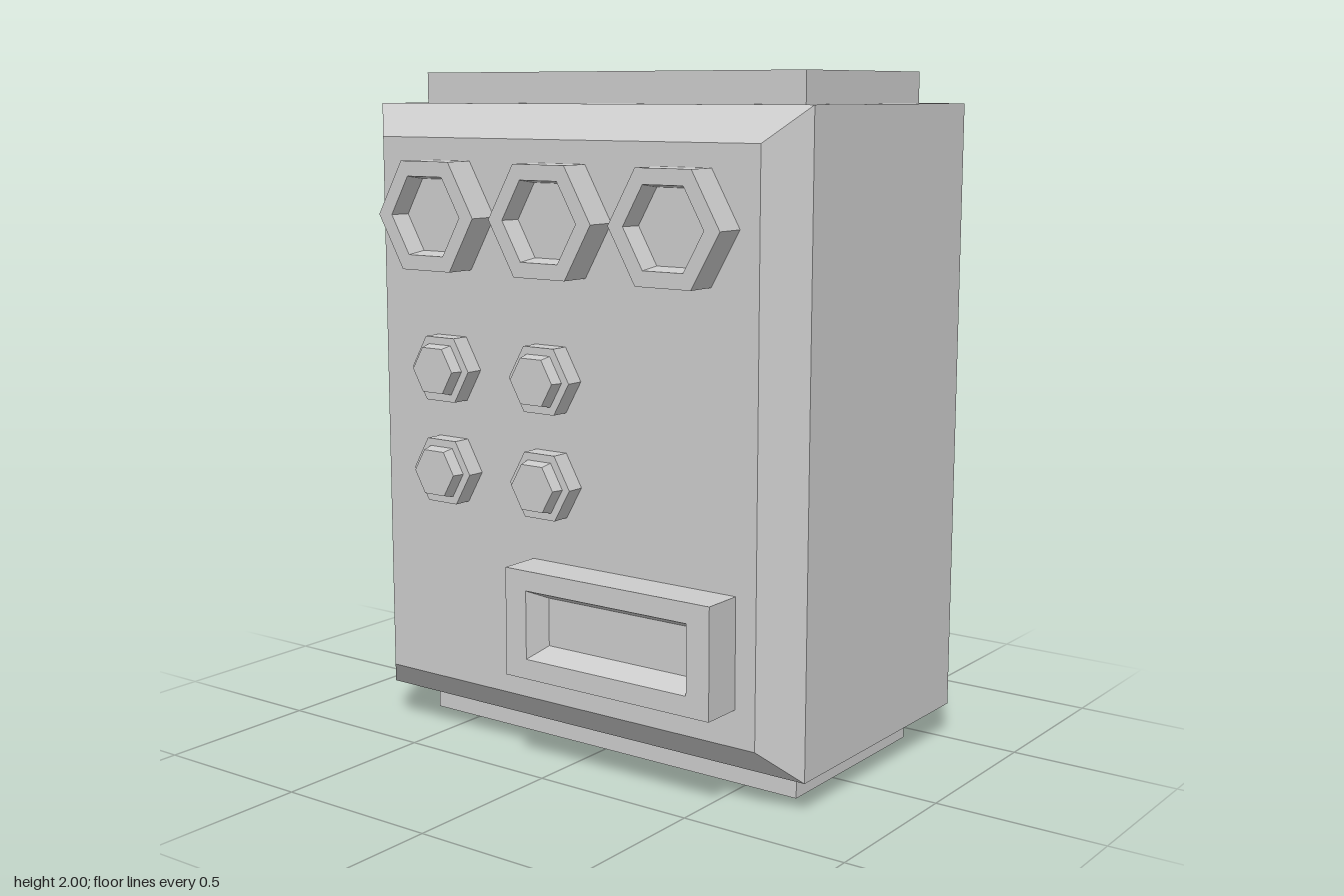
import * as THREE from 'three';

const material = new THREE.MeshStandardMaterial({ color: 0xcccccc, flatShading: true });

// Outlines run counter-clockwise as seen from the front
const rect = (hx, hy, z) => [[hx, -hy, z], [hx, hy, z], [-hx, hy, z], [-hx, -hy, z]];
const hex = (r, z) => Array.from({ length: 6 }, (_, i) => {
  const a = (i * Math.PI) / 3;
  return [r * Math.cos(a), r * Math.sin(a), z];
});

// Skins a series of outlines, from the back to the front face (or recess floor), and caps both ends
function loft(rings) {
  const pos = [];
  const n = rings[0].length;
  const tri = (a, b, c) => pos.push(...a, ...b, ...c);
  for (let k = 0; k < rings.length - 1; k++) {
    for (let i = 0; i < n; i++) {
      const j = (i + 1) % n;
      const [a, b, c, d] = [rings[k][i], rings[k][j], rings[k + 1][j], rings[k + 1][i]];
      tri(a, b, c);
      tri(a, c, d);
    }
  }
  const back = rings[0];
  const front = rings[rings.length - 1];
  for (let i = 1; i < n - 1; i++) {
    tri(front[0], front[i], front[i + 1]);
    tri(back[0], back[i + 1], back[i]);
  }
  const g = new THREE.BufferGeometry();
  g.setAttribute('position', new THREE.Float32BufferAttribute(pos, 3));
  g.computeVertexNormals();
  return g;
}

export function createModel() {
  const model = new THREE.Group();
  model.name = 'controlBox';

  const add = (name, geometry, x, y, z = 0) => {
    const mesh = new THREE.Mesh(geometry, material);
    mesh.name = name;
    mesh.position.set(x, y, z);
    model.add(mesh);
  };

  // Cabinet with a bevelled front
  add('cabinet', loft([
    rect(0.76, 0.907, -0.53), rect(0.76, 0.907, 0.305), rect(0.663, 0.81, 0.405),
  ]), 0, 1.003);

  // Plates at the top and the bottom
  const plate = new THREE.BoxGeometry(1.34, 0.096, 0.62);
  add('basePlate', plate, 0, 0.048, -0.11);
  add('topPlate', plate, 0, 1.952, -0.11);

  // Row of large hexagonal dials with recessed faces
  const dial = loft([hex(0.18, 0.4), hex(0.18, 0.498), hex(0.13, 0.498), hex(0.12, 0.44)]);
  for (const x of [-0.415, 0.004, 0.422]) add('dial', dial, x, 1.592);

  // Two by two small stepped buttons
  const button = loft([hex(0.108, 0.4), hex(0.108, 0.46), hex(0.083, 0.46), hex(0.075, 0.494)]);
  for (const x of [-0.402, -0.032]) {
    for (const y of [1.147, 0.845]) add('button', button, x, y);
  }

  // Tray with a tapered recess
  add('tray', loft([
    rect(0.35, 0.158, 0.4), rect(0.35, 0.158, 0.53),
    rect(0.276, 0.1, 0.53), rect(0.245, 0.07, 0.465),
  ]), 0.248, 0.457);

  return model;
}
